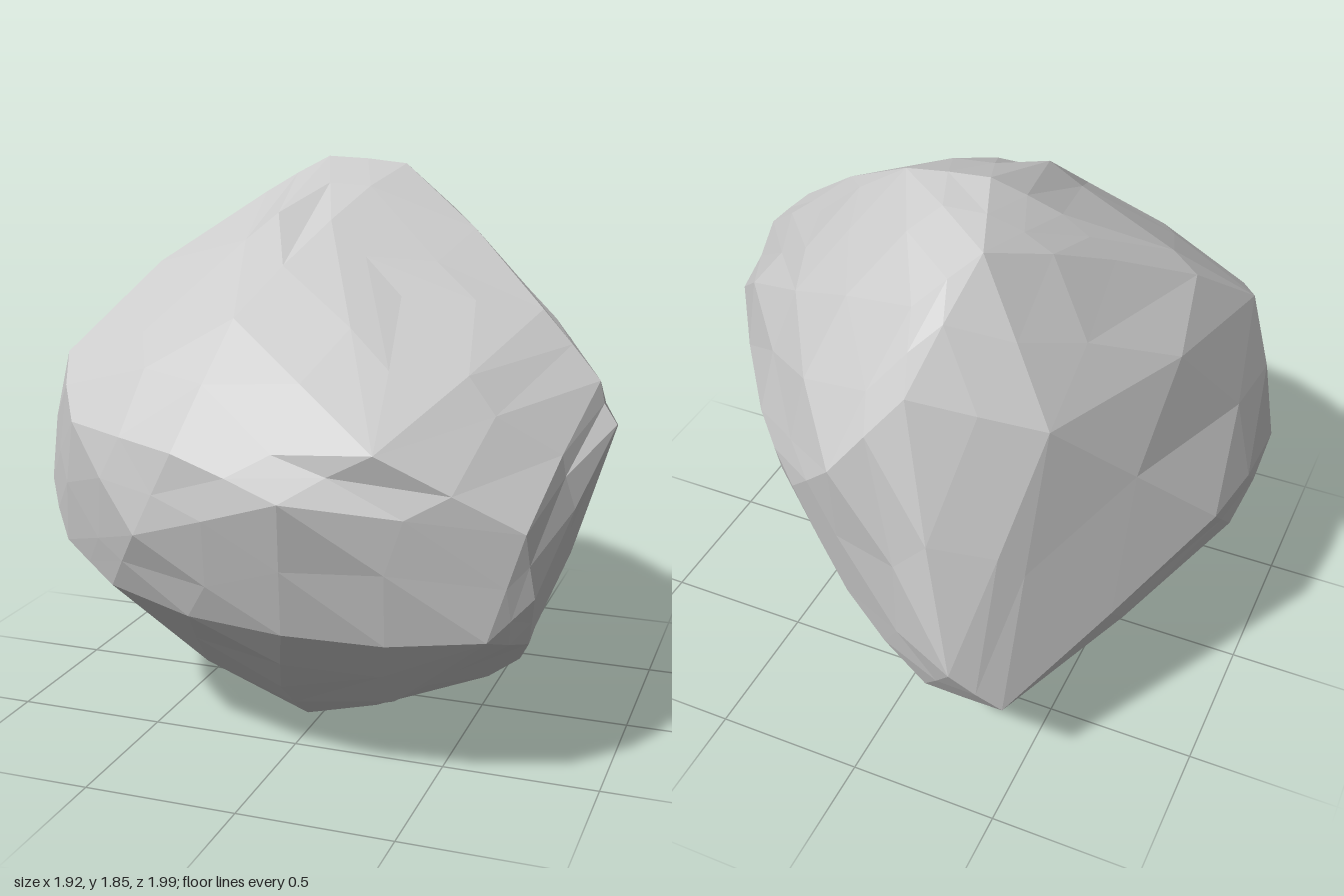
import * as THREE from 'three';
import { ConvexGeometry } from 'three/addons/geometries/ConvexGeometry.js';

// Main corners of the boulder, as x, y, z
const CORNERS = [
  // crown
  -0.13, 1.85, -0.2, 0.14, 1.83, -0.22, -0.24, 1.79, -0.5, -0.33, 1.73, -0.12,
  0.02, 1.68, 0.2, -0.1, 1.68, -0.68, -0.5, 1.6, -0.1,
  // left shoulder and flank
  0.52, 1.52, -0.1, 0.7, 1.42, 0.13, 0.9, 1.22, 0.2, 0.96, 1.09, 0.22, 0.93, 1.04, 0.02,
  0.85, 0.9, 0.4, 0.79, 0.86, 0.69, 0.81, 0.65, 0.64, 0.77, 0.46, 0.52, 0.62, 0.62, -0.27,
  // front
  0.14, 0.97, 0.99, 0.38, 1.1, 0.86, -0.22, 1.07, 0.92, -0.15, 1.42, 0.6, 0.3, 1.47, 0.34,
  -0.36, 0.8, 0.9, 0.1, 0.53, 0.87, 0.69, 0.53, 0.73, -0.52, 0.57, 0.74,
  // right flank
  -0.64, 1.09, 0.74, -0.74, 0.66, 0.62, -0.96, 0.77, 0.32, -0.92, 0.59, 0.02, -0.92, 0.8, -0.2,
  -0.82, 1.24, 0.42,
  // back
  -0.35, 0.6, -1.0, 0.07, 1.2, -0.92, -0.49, 0.42, -0.91, -0.15, 1.48, -0.84, 0.1, 0.6, -0.8,
  0.29, 0.95, -0.77, 0.54, 1.0, -0.53, 0.42, 1.45, -0.45, -0.52, 1.35, -0.66, -0.2, 0.36, -0.86,
  // underside
  0.08, 0, 0, -0.04, 0.01, 0.28, 0, 0.02, -0.23, 0.37, 0.07, 0.05, 0.6, 0.21, 0.1,
  -0.66, 0.38, 0.05, 0, 0.25, 0.62, -0.1, 0.18, -0.6,
];

// Shallow hollows: x, y, z, depth
const HOLLOWS = [
  [0.27, 1.06, 0.92, 0.06], [-0.25, 0.88, -0.95, 0.07], [0.88, 0.85, 0.2, 0.05],
  [0.86, 0.98, 0.48, 0.03], [-0.82, 0.8, -0.38, 0.04],
].map(([x, y, z, depth]) => ({ centre: new THREE.Vector3(x, y, z), depth }));

function seeded(seed) {
  return () => (seed = (seed * 16807) % 2147483647) / 2147483647;
}

// Splits every hull triangle in four and shifts the new edge points in or out
function chip(points, bulge, random) {
  const position = new ConvexGeometry(points).getAttribute('position');
  const core = new THREE.Vector3(0, 0.93, 0);
  const edges = new Map();
  const edgePoint = (a, b) => {
    const mid = a.clone().lerp(b, 0.5);
    const key = mid.toArray().map((v) => v.toFixed(4)).join();
    if (!edges.has(key)) {
      let shift = bulge * a.distanceToSquared(b) * (0.2 + 1.6 * random());
      for (const { centre, depth } of HOLLOWS) {
        shift -= depth * Math.max(0, 1 - mid.distanceTo(centre) / 0.4);
      }
      mid.addScaledVector(mid.clone().sub(core).normalize(), shift);
      mid.y = Math.max(mid.y, 0);
      edges.set(key, mid);
    }
    return edges.get(key);
  };
  const triangles = [];
  for (let i = 0; i < position.count; i += 3) {
    const [a, b, c] = [0, 1, 2].map((k) => new THREE.Vector3().fromBufferAttribute(position, i + k));
    const [ab, bc, ca] = [edgePoint(a, b), edgePoint(b, c), edgePoint(c, a)];
    triangles.push(a, ab, ca, ab, b, bc, ca, bc, c, ab, bc, ca);
  }
  const geometry = new THREE.BufferGeometry().setFromPoints(triangles);
  geometry.computeVertexNormals();
  return geometry;
}

export function createModel() {
  const group = new THREE.Group();
  group.name = 'boulder';

  const corners = [];
  for (let i = 0; i < CORNERS.length; i += 3) corners.push(new THREE.Vector3().fromArray(CORNERS, i));

  // Faceted stone
  const stone = new THREE.Mesh(
    chip(corners, 0.05, seeded(17)),
    new THREE.MeshStandardMaterial({ color: 0xcccccc, flatShading: true })
  );
  stone.name = 'stone';
  group.add(stone);
  return group;
}
